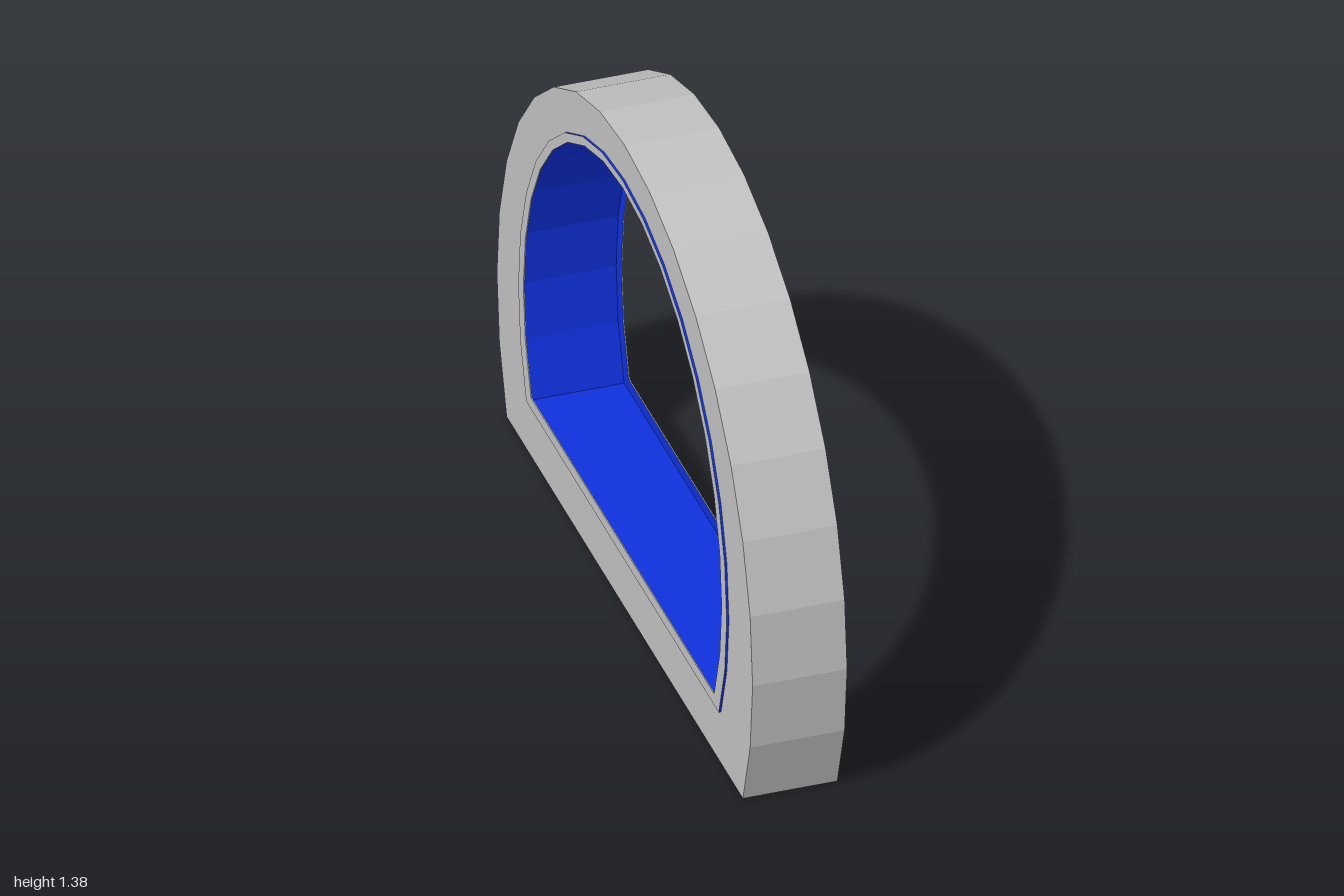
import * as THREE from 'three';

const grey = new THREE.MeshStandardMaterial({ name: 'stoneGrey', color: 0xc0c0c0 });
const blue = new THREE.MeshStandardMaterial({ name: 'deepBlue', color: 0x0f30dc });

const SIDES = 21;           // corners of the arch outline
const HALF = 0.125;         // half thickness of the frame
const OUTER = 1, TRIM = 0.855, RIM = 0.815, OPENING = 0.775;

// Corner k of an arch of radius r at depth x: a 32-sided circle cut flat at the bottom
function corner(r, x, k) {
  const a = (-2 + (k % SIDES)) * Math.PI / 16;
  const centre = 0.3827 + (1 - r) * 0.4444;
  return [x, centre + r * Math.sin(a), r * Math.cos(a)];
}

// Sweeps a profile of [radius, x] points around the arch with flat facets
function sweep(name, material, profile) {
  const pos = [];
  for (let i = 0; i < profile.length - 1; i++) {
    for (let k = 0; k < SIDES; k++) {
      const p = corner(...profile[i], k), q = corner(...profile[i + 1], k);
      const p2 = corner(...profile[i], k + 1), q2 = corner(...profile[i + 1], k + 1);
      pos.push(...p, ...q, ...q2, ...p, ...q2, ...p2);
    }
  }
  const geo = new THREE.BufferGeometry();
  geo.setAttribute('position', new THREE.Float32BufferAttribute(pos, 3));
  geo.computeVertexNormals();
  const mesh = new THREE.Mesh(geo, material);
  mesh.name = name;
  return mesh;
}

export function createModel() {
  const group = new THREE.Group();
  group.name = 'archFrame';
  const tip = 0.131, inner = 0.128;

  group.add(
    // Thick outer frame
    sweep('frame', grey, [[RIM, -HALF], [OUTER, -HALF], [OUTER, HALF], [RIM, HALF]]),
    // Blue stripe on the left face
    sweep('stripe', blue, [[TRIM, HALF], [TRIM, 0.127], [RIM, 0.127]]),
    // Raised edges around the opening on both faces
    sweep('rimEdgeLeft', blue, [[RIM, HALF], [RIM, tip]]),
    sweep('rimEdgeRight', blue, [[RIM, -tip], [RIM, -HALF]]),
    // Thin lips closing in on the opening
    sweep('lipLeft', grey, [[RIM, tip], [OPENING, tip], [OPENING, inner]]),
    sweep('lipRight', grey, [[RIM, -inner], [OPENING, -inner], [OPENING, -tip], [RIM, -tip]]),
    // Blue lining between the lips, including the back of the left lip
    sweep('lining', blue, [[OPENING, inner], [RIM, inner], [RIM, -inner]])
  );
  return group;
}
